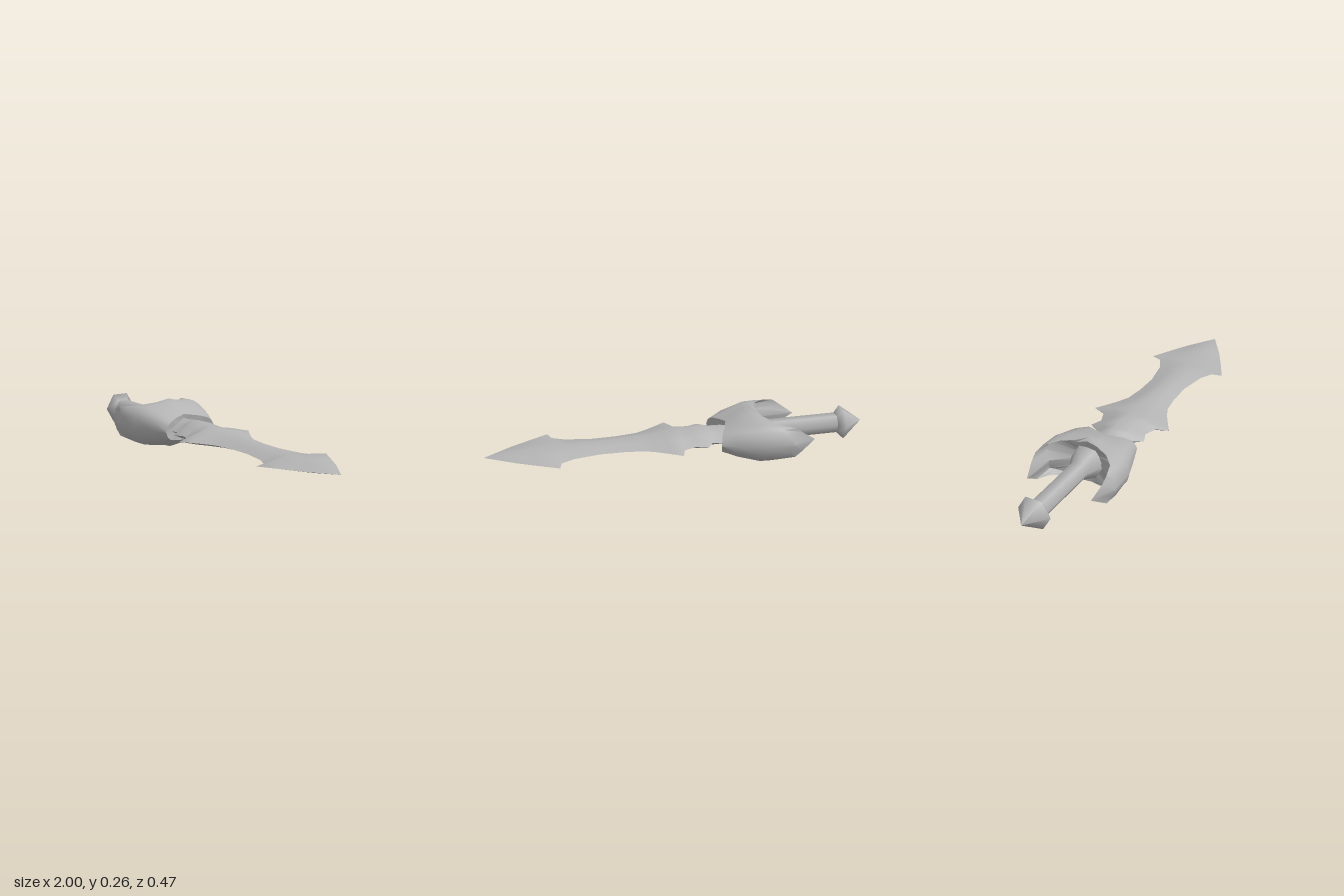
import * as THREE from 'three';
import { toCreasedNormals } from 'three/addons/utils/BufferGeometryUtils.js';

const AXIS_Y = 0.133;

// Skin closed rings (rows run along +x, each ring runs +z, +y, -z, -y)
function skin(rings, crease) {
  const n = rings[0].length, pos = [], index = [];
  rings.forEach(ring => ring.forEach(p => pos.push(...p)));
  for (let r = 0; r < rings.length - 1; r++) {
    for (let i = 0; i < n; i++) {
      const a = r * n + i, b = r * n + (i + 1) % n, c = a + n, d = b + n;
      index.push(a, c, b, b, c, d);
    }
  }
  const geo = new THREE.BufferGeometry();
  geo.setAttribute('position', new THREE.Float32BufferAttribute(pos, 3));
  geo.setIndex(index);
  return toCreasedNormals(geo, crease);
}

// Mirror a quarter ring (from +z to +y) into a full ring
function fullRing(quarter) {
  const m = quarter.length - 1, ring = [];
  for (let i = 0; i < 4 * m; i++) {
    const h = i % (2 * m), k = h <= m ? h : 2 * m - h;
    const sy = i <= 2 * m ? 1 : -1, sz = i <= m || i >= 3 * m ? 1 : -1;
    const [x, y, z] = quarter[k];
    ring.push([x, y * sy, z * sz]);
  }
  return ring;
}

// Blade: lens-shaped sections, [x, half width, half thickness]
function bladeGeometry() {
  const sections = [
    [-0.3, 0.1, 0.045], [-0.2, 0.115, 0.05], [-0.155, 0.1, 0.055], [-0.12, 0.155, 0.06],
    [-0.06, 0.13, 0.058], [0.005, 0.155, 0.052], [0.027, 0.22, 0.05], [0.08, 0.185, 0.045],
    [0.14, 0.148, 0.04], [0.2, 0.118, 0.036], [0.3, 0.103, 0.031], [0.43, 0.1, 0.027],
    [0.57, 0.125, 0.026], [0.635, 0.16, 0.025], [0.65, 0.215, 0.025], [0.75, 0.16, 0.025],
    [0.855, 0.1, 0.022], [1, 0, 0],
  ];
  return skin(sections.map(([x, w, t]) =>
    fullRing([[x, 0, w], [x, t * 0.58, w * 0.5], [x, t, 0]])), 1.05);
}

// Guard: a shell with two long side claws, double walled and closed at the blade
function guardGeometry() {
  const rim = [[-0.68, 0, 0.18], [-0.61, 0.05, 0.198], [-0.57, 0.08, 0.2], [-0.5, 0.093, 0.18],
    [-0.45, 0.103, 0.13], [-0.42, 0.113, 0.06], [-0.39, 0.132, 0]];
  const rear = [[-0.555, 0, 0.235], [-0.53, 0.045, 0.22], [-0.5, 0.08, 0.205], [-0.45, 0.097, 0.175],
    [-0.41, 0.108, 0.12], [-0.39, 0.118, 0.05], [-0.37, 0.126, 0]];
  const middle = [[-0.395, 0, 0.228], [-0.395, 0.05, 0.215], [-0.395, 0.08, 0.195], [-0.39, 0.1, 0.165],
    [-0.37, 0.108, 0.11], [-0.36, 0.115, 0.045], [-0.35, 0.118, 0]];
  const shoulder = [[-0.27, 0, 0.185], [-0.27, 0.04, 0.175], [-0.27, 0.065, 0.155], [-0.28, 0.075, 0.12],
    [-0.29, 0.085, 0.08], [-0.29, 0.09, 0.035], [-0.3, 0.095, 0]];
  const front = [[-0.19, 0, 0.155], [-0.195, 0.03, 0.14], [-0.2, 0.045, 0.12], [-0.215, 0.055, 0.09],
    [-0.23, 0.06, 0.06], [-0.24, 0.065, 0.03], [-0.25, 0.07, 0]];
  const inner = rim.map(([x, y, z]) => [x * 0.3 - 0.42 * 0.7, y * 0.9, z * 0.95]);
  const root = rim.map((p, k) => {
    const a = k / 6 * Math.PI / 2;
    return [-0.4, 0.06 * Math.sin(a), 0.06 * Math.cos(a)];
  });
  const cap = rim.map(() => [-0.26, 0, 0]);
  return skin([root, inner, rim, rear, middle, shoulder, front, cap].map(fullRing), 0.8);
}

// Six-sided turned part along x, profile as [x, radius]
function turned(profile) {
  const points = profile.map(([x, r]) => new THREE.Vector2(r, x));
  return new THREE.LatheGeometry(points, 6).rotateZ(-Math.PI / 2);
}

export function createModel() {
  const model = new THREE.Group();
  model.name = 'sword';
  const steel = new THREE.MeshStandardMaterial({ color: 0xb4b4b4 });
  steel.name = 'grey steel';

  const add = (name, geometry) => {
    const mesh = new THREE.Mesh(geometry, steel);
    mesh.name = name;
    mesh.position.y = AXIS_Y;
    model.add(mesh);
  };

  add('blade', bladeGeometry());
  add('guard', guardGeometry());
  add('grip', turned([[-0.87, 0.053], [-0.5, 0.053], [-0.415, 0.092], [-0.36, 0.08]]));
  add('pommel', turned([[-1, 0], [-0.89, 0.09], [-0.855, 0.052]]));
  return model;
}
